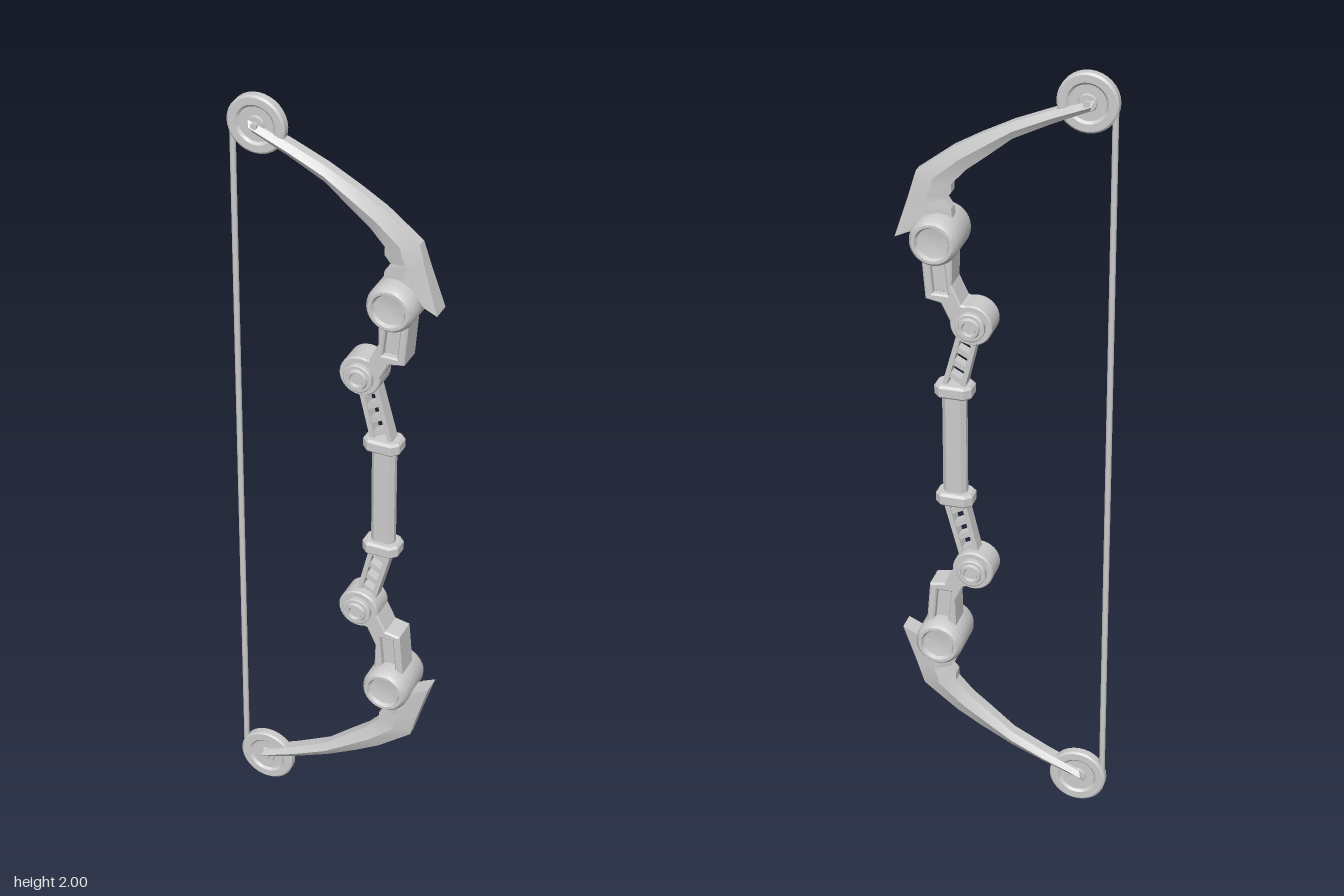
import * as THREE from 'three';
import { toCreasedNormals } from 'three/addons/utils/BufferGeometryUtils.js';

const material = new THREE.MeshStandardMaterial({ color: 0xcccccc });
const WHEEL = [-0.194, 0.927], HUB = [0.16, 0.556], ELBOW = [0.076, 0.341];

function add(parent, name, geometry, x = 0, y = 0, z = 0) {
  const mesh = new THREE.Mesh(geometry, material);
  mesh.name = name;
  mesh.position.set(x, y, z);
  parent.add(mesh);
  return mesh;
}

// Round part on the z axis, mirrored from a half profile [radius, z] that runs rim to centre
function turned(half, segments = 32) {
  const front = half.map(([r, z]) => new THREE.Vector2(r, z));
  const back = half.map(([r, z]) => new THREE.Vector2(r, -z)).reverse();
  const geometry = new THREE.LatheGeometry([...back, ...front], segments).rotateX(Math.PI / 2);
  return toCreasedNormals(geometry, 0.5);
}

const path = (points, Type = THREE.Shape) => new Type(points.map(([x, y]) => new THREE.Vector2(x, y)));

// Flat plate centred on z = 0 with a small chamfer
function plate(shape, half, bevel = 0.004) {
  return new THREE.ExtrudeGeometry(shape, {
    depth: 2 * (half - bevel), bevelThickness: bevel, bevelSize: bevel,
    bevelOffset: -bevel, bevelSegments: 1, curveSegments: 16,
  }).translate(0, 0, bevel - half);
}

// Upright bar with an eight-sided cross-section
function chamferedBar(w, d, height, cut, bevel) {
  const x = w / 2, y = d / 2;
  const shape = path([[x, cut - y], [x, y - cut], [x - cut, y], [cut - x, y],
    [-x, y - cut], [-x, cut - y], [cut - x, -y], [x - cut, -y]]);
  return plate(shape, height / 2, bevel).rotateX(-Math.PI / 2);
}

// Bar in the xy plane between two points
function strut(parent, name, a, b, width, depth) {
  const dx = b[0] - a[0], dy = b[1] - a[1];
  const mesh = add(parent, name, new THREE.BoxGeometry(Math.hypot(dx, dy), width, depth),
    (a[0] + b[0]) / 2, (a[1] + b[1]) / 2);
  mesh.rotation.z = Math.atan2(dy, dx);
}

// Limb lofted through six-sided sections: outer x, y, inner x, y, outer half width, middle half width
function limbGeometry() {
  const sections = [
    [-0.212, 0.937, -0.2, 0.909, 0.012, 0.024],
    [-0.11, 0.9, -0.11, 0.868, 0.012, 0.025],
    [-0.02, 0.862, -0.02, 0.822, 0.012, 0.025],
    [0.06, 0.82, 0.045, 0.768, 0.012, 0.025],
    [0.125, 0.782, 0.09, 0.732, 0.012, 0.025],
    [0.213, 0.714, 0.128, 0.69, 0.012, 0.025],
    [0.22, 0.69, 0.128, 0.668, 0.014, 0.025],
    [0.226, 0.668, 0.143, 0.65, 0.016, 0.025],
    [0.232, 0.648, 0.128, 0.628, 0.017, 0.025],
    [0.239, 0.625, 0.125, 0.598, 0.019, 0.025],
    [0.264, 0.545, 0.2, 0.575, 0.025, 0.025],
  ];
  const vertices = [], index = [];
  for (const [ox, oy, ix, iy, a, w] of sections) {
    const mx = (ox + ix) / 2, my = (oy + iy) / 2;
    vertices.push(ox, oy, a, mx, my, w, ix, iy, 0.014, ix, iy, -0.014, mx, my, -w, ox, oy, -a);
  }
  for (let i = 0; i < sections.length - 1; i++) {
    for (let j = 0; j < 6; j++) {
      const a = i * 6 + j, b = i * 6 + (j + 1) % 6;
      index.push(a, b, b + 6, a, b + 6, a + 6);
    }
  }
  const end = (sections.length - 1) * 6;
  for (let j = 1; j < 5; j++) index.push(0, j + 1, j, end, end + j, end + j + 1);
  const geometry = new THREE.BufferGeometry();
  geometry.setAttribute('position', new THREE.Float32BufferAttribute(vertices, 3));
  geometry.setIndex(index);
  return toCreasedNormals(geometry, 0.3);
}

function buildHalf(name) {
  const half = new THREE.Group();
  half.name = name;

  // Cable wheel with a raised rim, dished faces and a small axle
  add(half, 'cableWheel', turned([[0.068, 0.013], [0.073, 0.009], [0.073, 0.009]].reverse()
    .concat([[0.05, 0.013], [0.044, 0.007], [0.022, 0.007], [0.02, 0.012], [0, 0.012]])), ...WHEEL);
  add(half, 'wheelAxle', turned([[0.008, 0.022], [0, 0.022]], 16), ...WHEEL);
  add(half, 'limb', limbGeometry());

  // Large hub joining limb and arm
  add(half, 'hub', turned([[0.06, 0.05], [0.057, 0.06], [0.05, 0.068], [0.043, 0.068],
    [0.038, 0.059], [0.02, 0.056], [0, 0.055]]), ...HUB);

  // Arm with a recessed window
  const arm = path([[0.045, 0.302], [0.108, 0.306], [0.15, 0.39], [0.188, 0.397],
    [0.2, 0.54], [0.12, 0.54], [0.123, 0.44], [0.1, 0.392], [0.05, 0.385]]);
  const opening = [[0.133, 0.413], [0.17, 0.413], [0.178, 0.505], [0.142, 0.505]];
  arm.holes.push(path(opening, THREE.Path));
  add(half, 'arm', plate(arm, 0.035));
  add(half, 'armWindow', plate(path(opening), 0.018, 0.001));

  // Small elbow hub
  add(half, 'elbow', turned([[0.052, 0.031], [0.049, 0.035], [0.037, 0.035], [0.037, 0.046],
    [0.034, 0.048], [0.027, 0.048], [0.024, 0.055], [0.018, 0.055], [0.015, 0.048],
    [0, 0.048]]), ...ELBOW);

  // Ladder between the elbow and the grip
  strut(half, 'ladderRail', [0.105, 0.155], [0.068, 0.31], 0.012, 0.034);
  strut(half, 'ladderRail', [0.151, 0.155], [0.108, 0.315], 0.012, 0.034);
  for (let i = 0; i < 4; i++) {
    const y = 0.172 + i * 0.036, x = 0.1 - i * 0.0085;
    strut(half, 'ladderRung', [x, y], [x + 0.041, y + 0.022], 0.014, 0.026);
  }

  // Collar at the end of the grip
  add(half, 'collar', chamferedBar(0.094, 0.068, 0.034, 0.016, 0.006), 0.127, 0.15);
  return half;
}

export function createModel() {
  const model = new THREE.Group();
  model.name = 'compoundBow';
  const body = new THREE.Group();
  body.name = 'bowBody';
  body.position.y = 1;
  model.add(body);

  // The two halves match when turned about the x axis
  const upper = buildHalf('upperHalf');
  const lower = buildHalf('lowerHalf');
  lower.rotation.x = Math.PI;
  body.add(upper, lower);

  add(body, 'grip', chamferedBar(0.06, 0.036, 0.29, 0.011, 0.001), 0.128);
  add(body, 'bowstring', new THREE.CylinderGeometry(0.0075, 0.0075, 1.854, 10), -0.257);
  return model;
}
